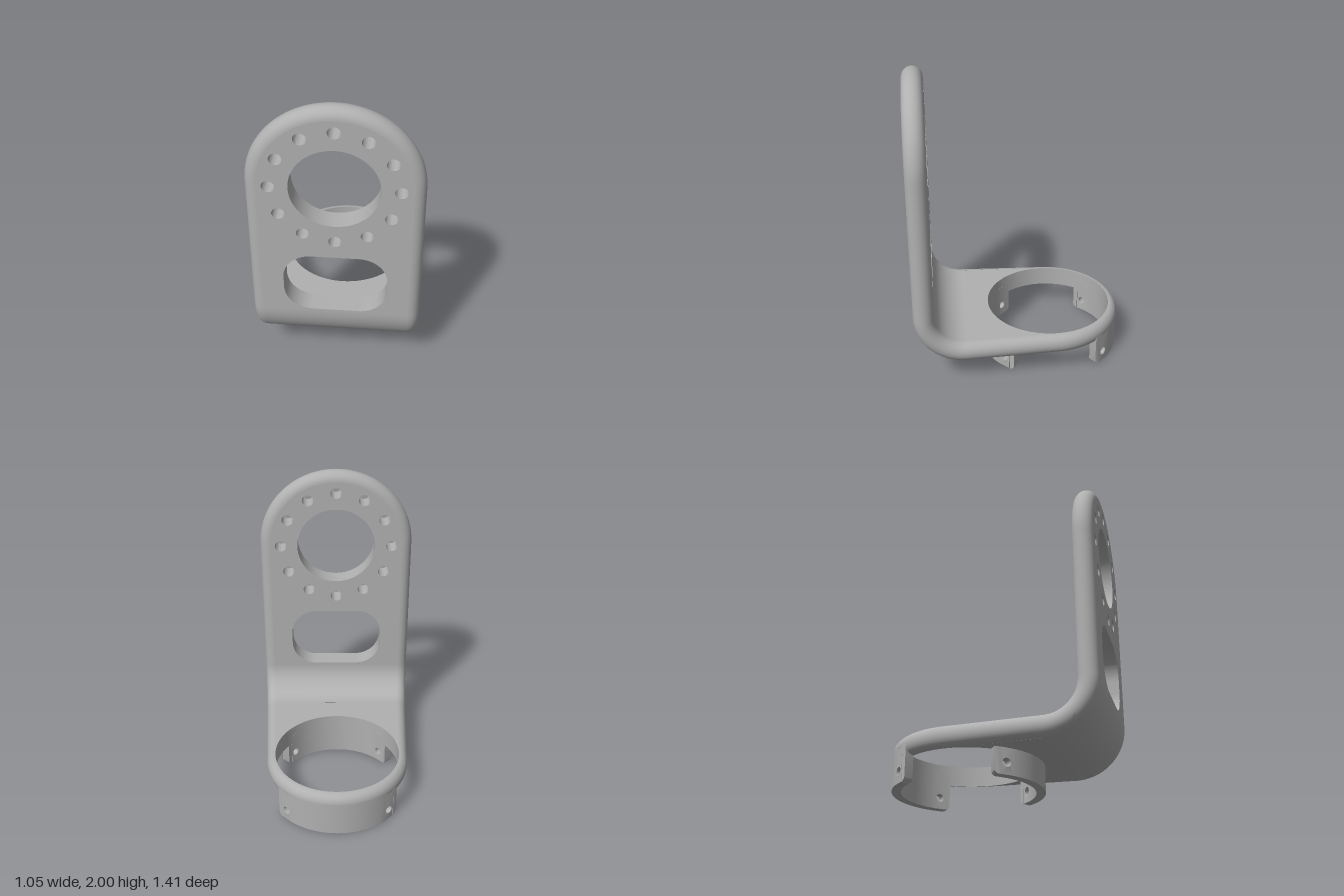
import * as THREE from 'three';
import { mergeGeometries, toCreasedNormals } from 'three/addons/utils/BufferGeometryUtils.js';

const T = 0.0675;                          // half thickness of the sheet
const FRONT_Z = 0.637, BASE_Y = 0.2325;    // mid-planes of upright and base
const BEND = { y: 0.505, z: 0.365, r: 0.272 };
const TOP = { y: 1.473, r: 0.4595 };       // rounded head (inside the rim)
const RING = { z: -0.227, r: 0.424, inner: 0.421, outer: 0.479 };

// half width of the flat faces and depth of the rounded rim, tapering to the back
const taper = (z) => (FRONT_Z - z) / (FRONT_Z - RING.z);
const halfWidth = (z) => THREE.MathUtils.lerp(TOP.r, RING.r, taper(z));
const rimDepth = (z) => THREE.MathUtils.lerp(T, RING.outer - RING.r, Math.min(1, taper(z)));

function grid(rows, flip) {
  const n = rows[0].length, index = [];
  for (let i = 0; i < rows.length - 1; i++) {
    for (let j = 0; j < n - 1; j++) {
      const a = i * n + j, b = a + n, c = b + 1, d = a + 1;
      if (flip) index.push(a, d, b, b, d, c);
      else index.push(a, b, d, b, c, d);
    }
  }
  const g = new THREE.BufferGeometry();
  g.setAttribute('position', new THREE.Float32BufferAttribute(rows.flat(2), 3));
  g.setIndex(index);
  return toCreasedNormals(g, 0.6);
}

function circle(x, y, r) {
  return new THREE.Path().absarc(x, y, r, 0, Math.PI * 2, true);
}

function roundedSlot(x, y0, y1, r) {
  const p = new THREE.Path();
  p.absarc(x - r, y1 - r, r, 0, Math.PI / 2, false);
  p.absarc(-x + r, y1 - r, r, Math.PI / 2, Math.PI, false);
  p.absarc(-x + r, y0 + r, r, Math.PI, Math.PI * 1.5, false);
  p.absarc(x - r, y0 + r, r, Math.PI * 1.5, Math.PI * 2, false);
  p.closePath();
  return p;
}

const extrude = (shape, depth, curveSegments = 48) =>
  new THREE.ExtrudeGeometry(shape, { depth, bevelEnabled: false, curveSegments });

// upright plate with bore, bolt circle and slot
function uprightGeometry() {
  const s = new THREE.Shape();
  s.moveTo(-TOP.r, BEND.y);
  s.lineTo(TOP.r, BEND.y);
  s.absarc(0, TOP.y, TOP.r, 0, Math.PI, false);
  s.closePath();
  s.holes.push(circle(0, 1.47, 0.269), roundedSlot(0.32, 0.525, 0.96, 0.175));
  for (let i = 0; i < 12; i++) {
    const a = i * Math.PI / 6;
    s.holes.push(circle(0.385 * Math.cos(a), 1.47 + 0.385 * Math.sin(a), 0.039));
  }
  return toCreasedNormals(extrude(s, 2 * T).translate(0, 0, FRONT_Z - T), 0.6);
}

// base plate with the large round opening
function baseGeometry() {
  const s = new THREE.Shape(), w = halfWidth(BEND.z);
  s.moveTo(-w, -BEND.z);
  s.lineTo(w, -BEND.z);
  s.absarc(0, -RING.z, RING.r, 0, Math.PI, false);
  s.closePath();
  s.holes.push(circle(0, -RING.z, RING.inner));
  const g = extrude(s, 2 * T).rotateX(-Math.PI / 2).translate(0, BASE_Y - T, 0);
  return toCreasedNormals(g, 0.6);
}

// one curved face of the bend
function bendGeometry(offset) {
  const rows = [];
  for (let i = 0; i <= 24; i++) {
    const a = i / 24 * Math.PI / 2, r = BEND.r + offset;
    const w = halfWidth(BEND.z + BEND.r * Math.cos(a));
    const y = BEND.y - r * Math.sin(a), z = BEND.z + r * Math.cos(a);
    rows.push([[-w, y, z], [w, y, z]]);
  }
  return grid(rows, offset < 0);
}

// half-round rim following the whole outline of the bent sheet
function rimGeometry() {
  const half = [], N = 32;
  const add = (c, o, n) => half.push({ c, o, n });
  for (let i = 0; i <= N; i++) {
    const a = (1 - i / N) * Math.PI / 2, x = Math.cos(a), y = Math.sin(a);
    add([TOP.r * x, TOP.y + TOP.r * y, FRONT_Z], [x, y, 0], [0, 0, 1]);
  }
  for (let i = 0; i <= 24; i++) {
    const a = i / 24 * Math.PI / 2, c = Math.cos(a), s = Math.sin(a);
    const z = BEND.z + BEND.r * c;
    add([halfWidth(z), BEND.y - BEND.r * s, z], [1, 0, 0], [0, -s, c]);
  }
  for (let i = 0; i <= N; i++) {
    const a = i / N * Math.PI / 2, x = Math.cos(a), z = -Math.sin(a);
    add([RING.r * x, BASE_Y, RING.z + RING.r * z], [x, 0, z], [0, -1, 0]);
  }
  const flipX = (v) => [-v[0], v[1], v[2]];
  const mirrored = half.slice(0, -1).reverse()
    .map(({ c, o, n }) => ({ c: flipX(c), o: flipX(o), n }));
  const rows = [...half, ...mirrored].map(({ c, o, n }) => {
    const e = rimDepth(c[2]), row = [];
    for (let j = 0; j <= 16; j++) {
      const t = (j / 16 - 0.5) * Math.PI;
      row.push(c.map((v, k) => v + e * Math.cos(t) * o[k] + T * Math.sin(t) * n[k]));
    }
    return row;
  });
  return grid(rows, true);
}

// curved clamp wall: flat strips wrapped around the ring axis
function clampGeometry() {
  const R = 0.45, rad = Math.PI / 180, h = BASE_Y, c = 0.03, parts = [];
  const wall = RING.outer - RING.inner;
  const strip = (a0, a1, hole) => {
    const u0 = a0 * rad * R, u1 = a1 * rad * R;
    const s = new THREE.Shape();
    s.moveTo(u0, 0);
    s.lineTo(u1, 0);
    s.lineTo(u1, h);
    s.lineTo(u0, h);
    s.closePath();
    if (hole) s.holes.push(circle((u0 + u1) / 2, 0.075, 0.027));
    parts.push(extrude(s, wall, 12));
  };
  for (let a = -40; a < 40; a += 4) strip(a, a + 4);
  for (const side of [-1, 1]) {
    strip(Math.min(side * 40, side * 50), Math.max(side * 40, side * 50), true);
    // end strip with a rounded lower corner
    const u0 = 50 * rad * R, u1 = 54.5 * rad * R, s = new THREE.Shape();
    if (side > 0) {
      s.moveTo(u0, 0);
      s.absarc(u1 - c, c, c, -Math.PI / 2, 0, false);
      s.lineTo(u1, h);
      s.lineTo(u0, h);
    } else {
      s.moveTo(-u0, 0);
      s.lineTo(-u0, h);
      s.lineTo(-u1, h);
      s.absarc(-u1 + c, c, c, Math.PI, Math.PI * 1.5, false);
    }
    s.closePath();
    parts.push(extrude(s, wall, 8));
  }
  const g = mergeGeometries(parts), p = g.attributes.position;
  for (let i = 0; i < p.count; i++) {
    const a = p.getX(i) / R, r = RING.inner + p.getZ(i);
    p.setXYZ(i, r * Math.sin(a), p.getY(i), r * Math.cos(a));
  }
  return toCreasedNormals(g, 0.6);
}

export function createModel() {
  const model = new THREE.Group();
  model.name = 'mountingBracket';
  const grey = new THREE.MeshStandardMaterial({ color: 0xb0b0b0 });
  grey.name = 'grey';
  const add = (name, geometry) => {
    const mesh = new THREE.Mesh(geometry, grey);
    mesh.name = name;
    model.add(mesh);
    return mesh;
  };
  add('uprightPlate', uprightGeometry());
  add('basePlate', baseGeometry());
  add('bendOuter', bendGeometry(T));
  add('bendInner', bendGeometry(-T));
  add('roundedRim', rimGeometry());
  const clamp = clampGeometry();
  add('frontClamp', clamp).position.z = RING.z;
  const rear = add('rearClamp', clamp);
  rear.position.z = RING.z;
  rear.rotation.y = Math.PI;
  return model;
}
